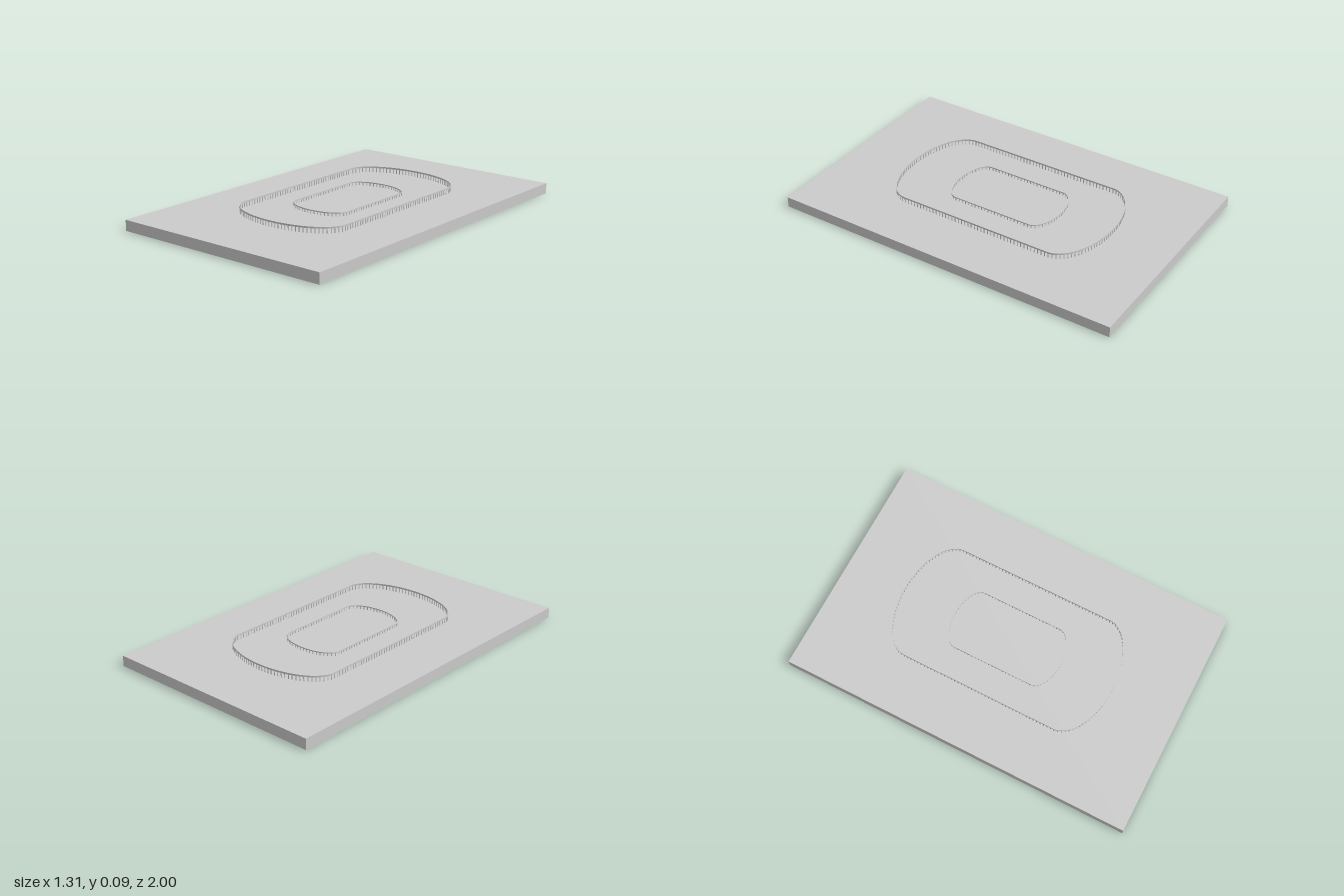
import * as THREE from 'three';

const SLAB_H = 0.06;
const material = new THREE.MeshStandardMaterial({ color: 0xcccccc, flatShading: true });

// Closed oval: straight sides joined by half-ellipse ends.
function oval(PathType, halfWidth, straight, endDepth) {
  const path = new PathType();
  path.moveTo(halfWidth, -straight);
  path.lineTo(halfWidth, straight);
  path.absellipse(0, straight, halfWidth, endDepth, 0, Math.PI, false);
  path.lineTo(-halfWidth, -straight);
  path.absellipse(0, -straight, halfWidth, endDepth, Math.PI, Math.PI * 2, false);
  return path;
}

// Thin top rail carried by a row of small posts.
function railing(name, { halfWidth, straight, endDepth, height, railHeight, posts, centre }) {
  const group = new THREE.Group();
  group.name = name;
  const t = 0.002;

  const ring = oval(THREE.Shape, halfWidth + t, straight, endDepth + t);
  ring.holes.push(oval(THREE.Path, halfWidth - t, straight, endDepth - t));
  const railGeometry = new THREE.ExtrudeGeometry(ring, {
    depth: railHeight, bevelEnabled: false, curveSegments: 32,
  });
  railGeometry.rotateX(-Math.PI / 2);
  const rail = new THREE.Mesh(railGeometry, material);
  rail.name = name + 'Rail';
  rail.position.y = height - railHeight;
  group.add(rail);

  const postHeight = height - railHeight;
  const postGeometry = new THREE.BoxGeometry(0.005, postHeight, 0.003);
  const path = oval(THREE.Path, halfWidth, straight, endDepth);
  for (let i = 0; i < posts; i++) {
    const p = path.getPointAt(i / posts);
    const d = path.getTangentAt(i / posts);
    const post = new THREE.Mesh(postGeometry, material);
    post.name = name + 'Post';
    post.position.set(p.x, postHeight / 2, -p.y);
    post.rotation.y = Math.atan2(d.y, d.x);
    group.add(post);
  }
  group.position.set(centre[0], SLAB_H, centre[1]);
  return group;
}

export function createModel() {
  const model = new THREE.Group();
  model.name = 'ovalTrack';

  const slab = new THREE.Mesh(new THREE.BoxGeometry(1.31, SLAB_H, 2), material);
  slab.name = 'groundSlab';
  slab.position.y = SLAB_H / 2;
  model.add(slab);

  model.add(railing('outerFence', {
    halfWidth: 0.344, straight: 0.447, endDepth: 0.184,
    height: 0.034, railHeight: 0.009, posts: 170, centre: [0.002, -0.012],
  }));
  model.add(railing('innerFence', {
    halfWidth: 0.177, straight: 0.23, endDepth: 0.091,
    height: 0.021, railHeight: 0.006, posts: 86, centre: [0.002, -0.012],
  }));
  return model;
}
